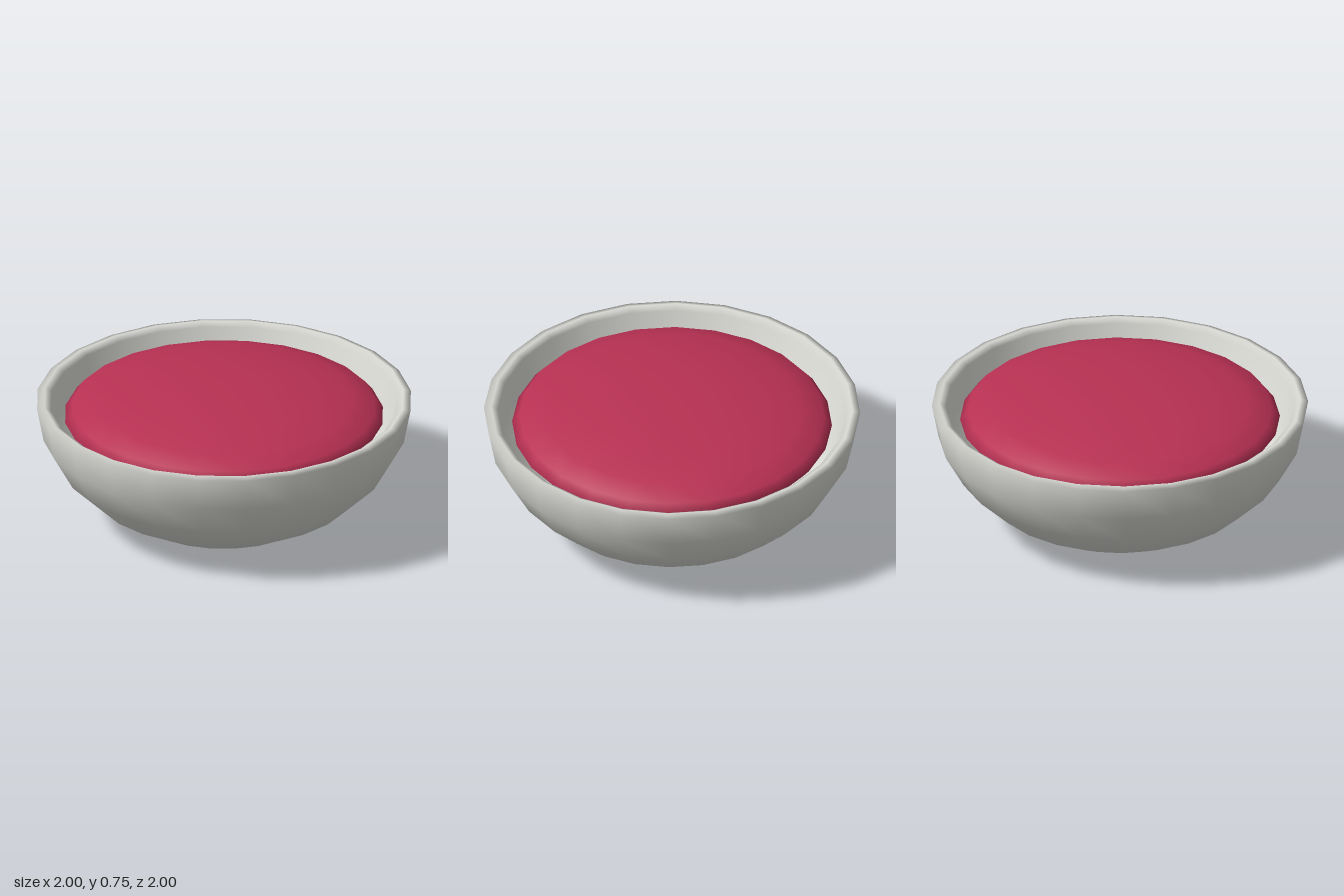
import * as THREE from 'three';

const SIDES = 24;

// Turned part from [radius, height] pairs, running outward and upward
function turned(name, profile, material) {
  const points = profile.map(([r, y]) => new THREE.Vector2(r, y));
  const mesh = new THREE.Mesh(new THREE.LatheGeometry(points, SIDES), material);
  mesh.name = name;
  return mesh;
}

export function createModel() {
  const group = new THREE.Group();
  group.name = 'bowl';

  const ceramic = new THREE.MeshStandardMaterial({ color: 0xd9d9d4 });
  ceramic.name = 'pale grey ceramic';
  const filling = new THREE.MeshStandardMaterial({ color: 0xb83153 });
  filling.name = 'crimson filling';

  // Bowl wall: outside, rounded rim, then down the inside
  group.add(turned('bowlWall', [
    [0.4, 0.02], [0.48, 0.024], [0.7, 0.145], [0.865, 0.305], [0.965, 0.485],
    [1, 0.67], [0.96, 0.682], [0.925, 0.66],
    [0.895, 0.49], [0.8, 0.325], [0.65, 0.18], [0.45, 0.08], [0, 0.06],
  ], ceramic));

  // Low foot with a softly shaded edge
  group.add(turned('foot', [[0, 0], [0.415, 0], [0.415, 0.024]], ceramic));

  // Domed contents: a flattened sphere sitting inside the rim
  const contents = new THREE.Mesh(new THREE.SphereGeometry(0.85, SIDES, 10), filling);
  contents.name = 'contents';
  contents.scale.y = 0.165 / 0.85;
  contents.position.y = 0.585;
  group.add(contents);

  return group;
}
